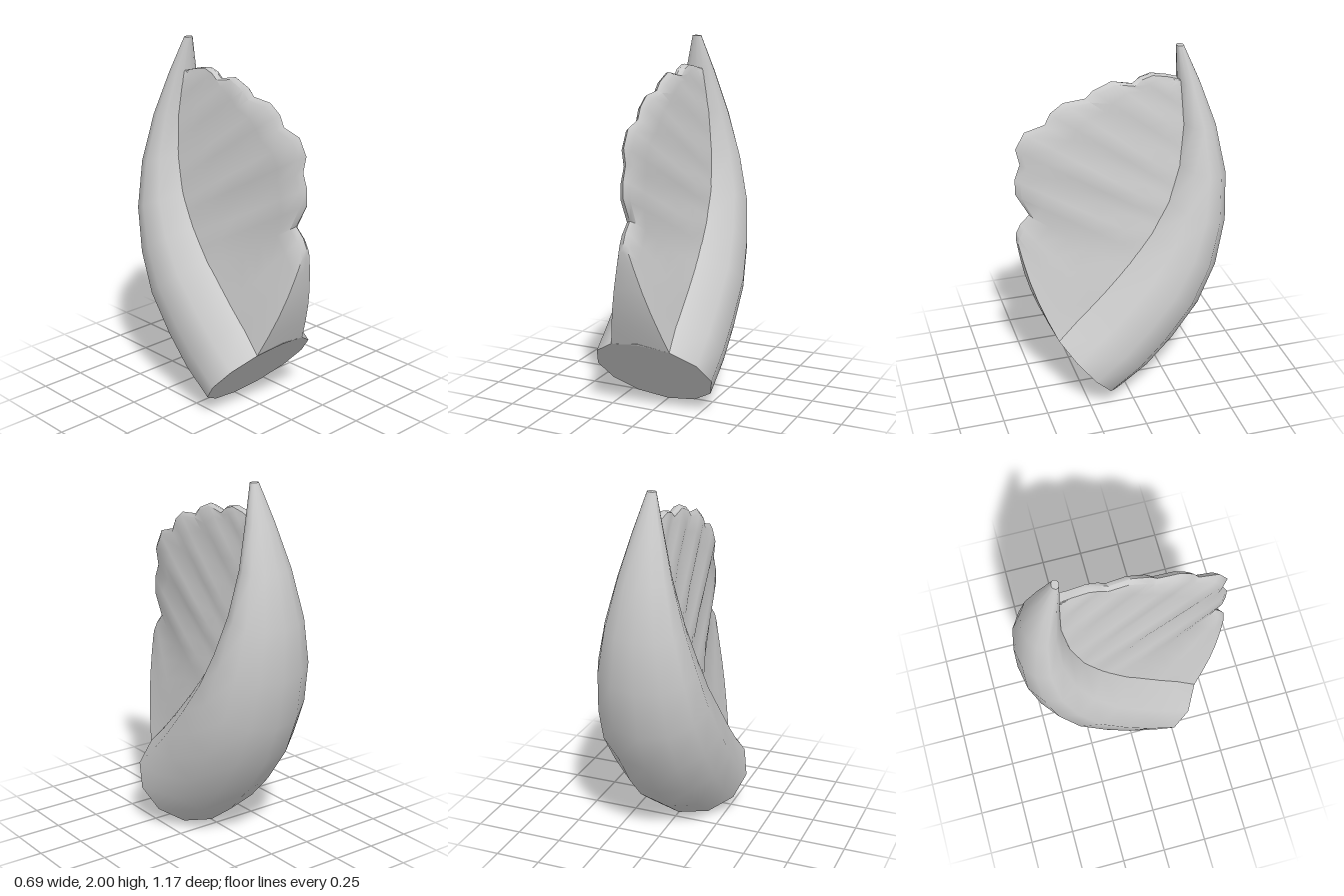
import * as THREE from 'three';
import { toCreasedNormals } from 'three/addons/utils/BufferGeometryUtils.js';

// Surface through rows of points; normals follow (column direction x row direction)
function gridMesh(name, rows) {
  const pos = [];
  const ab = new THREE.Vector3(), ac = new THREE.Vector3();
  const tri = (a, b, c) => {
    ab.subVectors(b, a);
    ac.subVectors(c, a);
    if (ab.cross(ac).length() > 1e-7) pos.push(...a.toArray(), ...b.toArray(), ...c.toArray());
  };
  for (let r = 0; r < rows.length - 1; r++) {
    for (let c = 0; c < rows[r].length - 1; c++) {
      tri(rows[r][c], rows[r][c + 1], rows[r + 1][c + 1]);
      tri(rows[r][c], rows[r + 1][c + 1], rows[r + 1][c]);
    }
  }
  const geo = new THREE.BufferGeometry();
  geo.setAttribute('position', new THREE.Float32BufferAttribute(pos, 3));
  const mesh = new THREE.Mesh(
    toCreasedNormals(geo, 0.9),
    new THREE.MeshStandardMaterial({ color: 0xcccccc, side: THREE.DoubleSide })
  );
  mesh.name = name;
  return mesh;
}

// Horn stations: back z, back y, inner z, inner y, half width
const STATIONS = [
  [0.05, 0, 0.43, 0.44, 0.345],
  [-0.13, 0.13, 0.29, 0.57, 0.347],
  [-0.28, 0.29, 0.17, 0.69, 0.346],
  [-0.43, 0.5, 0.02, 0.85, 0.342],
  [-0.53, 0.73, -0.11, 1.01, 0.315],
  [-0.58, 1.0, -0.21, 1.17, 0.28],
  [-0.58, 1.28, -0.28, 1.36, 0.22],
  [-0.52, 1.56, -0.315, 1.58, 0.15],
  [-0.43, 1.8, -0.31, 1.8, 0.085],
  [-0.34, 2.0, -0.3, 2.0, 0.025],
];

// Point on the horn at station u (may be fractional); angle 0 is the inner side, scale 0 the axis
function hornPoint(u, angle, scale = 1) {
  const i = Math.min(Math.floor(u), STATIONS.length - 2);
  const [bz, by, iz, iy, w] = STATIONS[i].map((v, k) => THREE.MathUtils.lerp(v, STATIONS[i + 1][k], u - i));
  const c = Math.cos(angle) * scale / 2;
  return new THREE.Vector3(
    Math.sin(angle) * w * scale,
    (by + iy) / 2 + c * (iy - by),
    (bz + iz) / 2 + c * (iz - bz)
  );
}

function makeHorn() {
  const SIDES = 12;
  const ring = (u, scale) =>
    Array.from({ length: SIDES + 1 }, (_, k) => hornPoint(u, ((k % SIDES) / SIDES) * Math.PI * 2, scale));
  const last = STATIONS.length - 1;
  // Slanted base cap, rings, then the small blunt tip
  return gridMesh('horn', [ring(0, 0), ...STATIONS.map((_, u) => ring(u, 1)), ring(last, 0)]);
}

// Fin ribs: outer edge z, outer edge y, root station on the horn; every third rib is a notch
const RIBS = [
  [0.585, 1.0, 0], [0.585, 1.03, 0.8], [0.56, 1.08, 1.7],
  [0.51, 1.13, 2.8], [0.58, 1.26, 3.4], [0.58, 1.35, 3.8],
  [0.55, 1.43, 4.2], [0.57, 1.52, 4.5], [0.52, 1.61, 4.8],
  [0.41, 1.64, 5.1], [0.38, 1.7, 5.4], [0.31, 1.75, 5.7],
  [0.19, 1.76, 6.1], [0.15, 1.8, 6.4], [0.05, 1.84, 6.8],
  [-0.06, 1.815, 7.1], [-0.1, 1.845, 7.4], [-0.16, 1.86, 7.7],
  [-0.25, 1.84, 7.95], [-0.31, 1.82, 8.1],
];

function makeFin() {
  const STEPS = [0, 0.2, 0.4, 0.6, 0.8, 0.96];
  const rows = RIBS.map(([z, y, u], i) => {
    const root = hornPoint(u, Math.PI / 6, u < 0.1 ? 1 : 0.94);
    const rim = new THREE.Vector3(0, y, z);
    const lip = new THREE.Vector3(Math.min(0.022, root.x), y, z);
    const flute = i === 0 ? 0 : (i % 3 ? 0.006 : -0.012);
    const half = STEPS.map((t) => {
      const p = root.clone().lerp(lip, t);
      const bulge = Math.sin(Math.PI * t);
      p.x = Math.max(0.008, p.x + flute * bulge * Math.min(1, root.x * 8));
      if (i === 0) p.z += 0.025 * bulge;
      return p;
    });
    const mirrored = half.map((p) => new THREE.Vector3(-p.x, p.y, p.z));
    return [...mirrored, rim, ...half.reverse()];
  });
  // Centre ridge closing the front face between the two lowest ribs
  const ridge = rows[0].map((p) => {
    const lift = Math.min(0.02, Math.abs(p.x) * 0.15);
    return new THREE.Vector3(0, p.y + lift, p.z + lift);
  });
  // The top end is closed down to its centre line
  const end = rows[rows.length - 1].map((p) => new THREE.Vector3(0, p.y, p.z));
  return gridMesh('fin', [ridge, ...rows, end]);
}

export function createModel() {
  const model = new THREE.Group();
  model.name = 'finnedHorn';
  model.add(makeHorn(), makeFin());
  return model;
}
